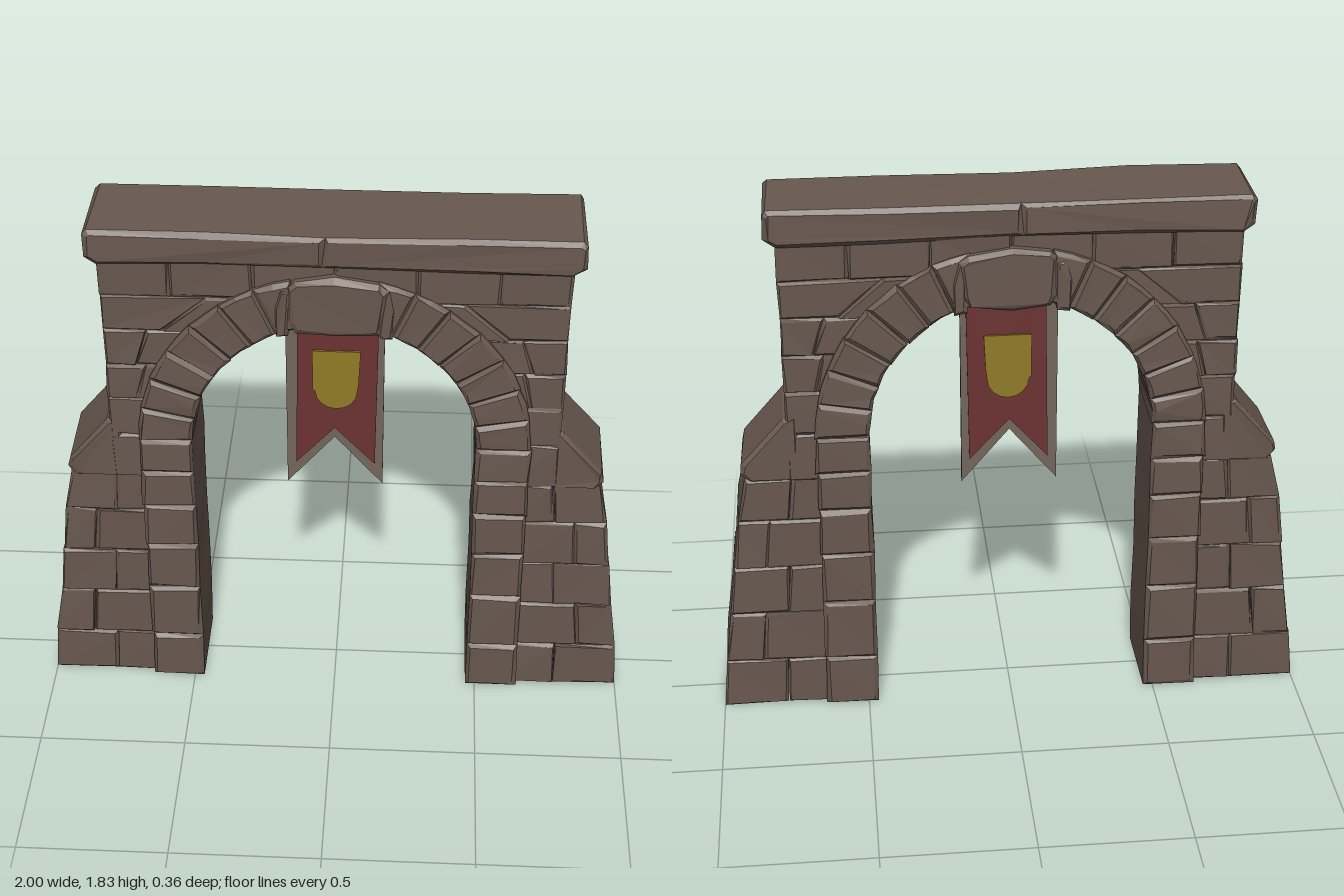
import * as THREE from 'three';

const stoneMat = new THREE.MeshStandardMaterial({ color: 0x68584f });
stoneMat.name = 'stone';
const trimMat = new THREE.MeshStandardMaterial({ color: 0x73665c });
trimMat.name = 'bannerTrim';
const redMat = new THREE.MeshStandardMaterial({ color: 0x6c3333 });
redMat.name = 'bannerRed';
const goldMat = new THREE.MeshStandardMaterial({ color: 0x917a26 });
goldMat.name = 'shieldGold';

const SPRING = 1.04, R_IN = 0.465, R_OUT = 0.642;

// Repeatable value in -1..1
const hash = (n) => {
  const s = Math.sin(n) * 43758.5453;
  return (s - Math.floor(s)) * 2 - 1;
};

// Small carved unevenness: corners sharing a position move together
function roughen(geo, amount) {
  const p = geo.attributes.position;
  for (let i = 0; i < p.count; i++) {
    const x = p.getX(i), y = p.getY(i), z = p.getZ(i);
    const k = Math.round(x * 500) * 1.37 + Math.round(y * 500) * 2.91 + Math.round(z * 500) * 4.73;
    p.setXYZ(i, x + hash(k) * amount, y < 0.002 ? 0 : y + hash(k + 7) * amount, z + hash(k + 13) * amount);
  }
  geo.computeVertexNormals();
  return geo;
}

function makeShape(pts) {
  return new THREE.Shape(pts.map(([x, y]) => new THREE.Vector2(x, y)));
}

// Chamfered block with outline pts, running from -half to +half in z
function stone(group, name, pts, half, bevel = 0.01, rough = 0.004) {
  const geo = new THREE.ExtrudeGeometry(makeShape(pts), {
    depth: 2 * (half - bevel), bevelEnabled: true, bevelThickness: bevel,
    bevelSize: bevel, bevelOffset: -bevel, bevelSegments: 1,
  });
  geo.translate(0, 0, -(half - bevel));
  const mesh = new THREE.Mesh(roughen(geo, rough), stoneMat);
  mesh.name = name;
  group.add(mesh);
}

// Thin flat plate centred on z
function plate(group, name, pts, thickness, z, mat) {
  const geo = new THREE.ExtrudeGeometry(makeShape(pts), { depth: thickness, bevelEnabled: false });
  geo.translate(0, 0, z - thickness / 2);
  const mesh = new THREE.Mesh(geo, mat);
  mesh.name = name;
  group.add(mesh);
}

function addGroup(parent, name) {
  const g = new THREE.Group();
  g.name = name;
  parent.add(g);
  return g;
}

// Four-sided block between two heights, mirrored by side s
const quad = (s, y0, y1, in0, in1, out0, out1) =>
  [[s * in0, y0], [s * out0, y0], [s * out1, y1], [s * in1, y1]];

// One masonry course cut into blocks at the given fractions
function course(group, name, s, y0, y1, in0, in1, out0, out1, cuts, half) {
  const f = [0, ...cuts, 1];
  for (let i = 0; i < f.length - 1; i++) {
    const lo = (t) => in0 + (out0 - in0) * t, hi = (t) => in1 + (out1 - in1) * t;
    stone(group, name, quad(s, y0, y1, lo(f[i]), hi(f[i]), lo(f[i + 1]), hi(f[i + 1])),
      half + hash(y0 * 31 + i * 5 + s) * 0.003, 0.008);
  }
}

export function createModel() {
  const model = new THREE.Group();
  model.name = 'stoneArchway';

  // Solid core behind the masonry
  const core = new THREE.Shape();
  core.moveTo(-0.72, 0.01);
  core.lineTo(-0.54, 0.01);
  core.lineTo(-0.54, SPRING);
  core.absarc(0, SPRING, 0.54, Math.PI, 0, true);
  core.lineTo(0.54, 0.01);
  core.lineTo(0.72, 0.01);
  core.lineTo(0.72, 1.73);
  core.lineTo(-0.72, 1.73);
  const coreGeo = new THREE.ExtrudeGeometry(core, { depth: 0.25, bevelEnabled: false, curveSegments: 24 });
  coreGeo.translate(0, 0, -0.125);
  const coreMesh = new THREE.Mesh(coreGeo, stoneMat);
  coreMesh.name = 'wallCore';
  model.add(coreMesh);

  const wallY = [0.88, 1.05, 1.2, 1.33, 1.46, 1.59, 1.73];
  const wallInner = (y) => (y <= SPRING ? 0.555 : Math.sqrt(Math.max(0, 0.555 ** 2 - (y - SPRING) ** 2)));
  const buttressY = [0, 0.18, 0.37, 0.55, 0.73, 0.89];
  const buttressX = [1.0, 0.985, 0.957, 0.935, 0.912, 0.877];
  const pierY = [0, 0.19, 0.41, 0.6, 0.77, 0.91, SPRING];

  for (const s of [-1, 1]) {
    const side = s > 0 ? 'left' : 'right';

    // Upper wall courses
    const wall = addGroup(model, side + 'Wall');
    for (let i = 0; i < wallY.length - 1; i++) {
      const y0 = wallY[i], y1 = wallY[i + 1], top = i === wallY.length - 2;
      const cuts = top ? [0.35, 0.7] : i < 2 ? [] : [0.5 + 0.12 * (i % 2)];
      course(wall, 'wallStone', s, y0, y1, top ? 0 : wallInner(y0), top ? 0 : wallInner(y1),
        0.737, 0.737, cuts, 0.142);
    }

    // Battered buttress with a sloped coping
    const buttress = addGroup(model, side + 'Buttress');
    for (let i = 0; i < buttressY.length - 1; i++) {
      course(buttress, 'buttressStone', s, buttressY[i], buttressY[i + 1], 0.6, 0.6,
        buttressX[i], buttressX[i + 1], [i % 2 ? 0.66 : 0.45], 0.136);
    }
    stone(buttress, 'buttressCoping',
      [[0.7, 0.875], [0.865, 0.875], [0.892, 0.91], [0.885, 0.945], [0.745, 1.105], [0.7, 1.12]]
        .map(([x, y]) => [s * x, y]), 0.14, 0.012);

    // Pier blocks
    const pier = addGroup(model, side + 'Pier');
    for (let i = 0; i < pierY.length - 1; i++) {
      stone(pier, 'pierStone', quad(s, pierY[i], pierY[i + 1], R_IN, R_IN, 0.645, R_OUT), 0.161, 0.012);
    }

    // Wedge blocks of the arch, up to the keystone
    const arch = addGroup(model, side + 'ArchRing');
    const n = 7, end = 1.36;
    for (let i = 0; i < n; i++) {
      const a0 = (i / n) * end, a1 = ((i + 1) / n) * end, am = (a0 + a1) / 2;
      const at = (r, a) => [s * r * Math.cos(a), SPRING + r * Math.sin(a)];
      stone(arch, 'archStone', [at(R_IN, a0), at(R_OUT, a0), at(R_OUT, am), at(R_OUT, a1),
        at(R_IN, a1), at(R_IN, am)], 0.16 + hash(i + s) * 0.002, 0.012, 0.003);
    }

    // Narrow stones flanking the keystone
    stone(model, 'keystoneFlank',
      [[0.145, 1.47], [0.185, 1.465], [0.19, 1.57], [0.17, 1.64], [0.14, 1.63]].map(([x, y]) => [s * x, y]),
      0.167, 0.008);
  }

  // Keystone
  stone(model, 'keystone', [[-0.125, 1.485], [0, 1.475], [0.14, 1.485], [0.155, 1.52], [0.17, 1.645],
    [0.14, 1.665], [0, 1.685], [-0.12, 1.67], [-0.145, 1.65], [-0.14, 1.52]], 0.175, 0.015);

  // Coping along the top, in two lengths
  const coping = addGroup(model, 'topCoping');
  stone(coping, 'copingStone', [[-0.735, 1.705], [-0.4, 1.715], [-0.035, 1.715], [-0.03, 1.825], [-0.4, 1.83],
    [-0.76, 1.83], [-0.775, 1.815], [-0.772, 1.735]], 0.157, 0.014);
  stone(coping, 'copingStone', [[-0.035, 1.715], [0.4, 1.71], [0.735, 1.705], [0.772, 1.735], [0.775, 1.815],
    [0.76, 1.83], [0.4, 1.825], [-0.03, 1.825]], 0.157, 0.014);

  // Swallow-tailed banner, with cloth and shield on both faces
  const banner = addGroup(model, 'banner');
  plate(banner, 'bannerTrim', [[-0.165, 0.78], [-0.005, 0.972], [0.157, 0.78], [0.157, 1.4], [0.15, 1.48],
    [0.06, 1.455], [-0.06, 1.455], [-0.165, 1.48]], 0.018, 0, trimMat);
  const shield = [[-0.078, 1.322], [-0.078, 1.17]];
  for (let i = 0; i <= 8; i++) {
    const a = Math.PI + (i / 8) * Math.PI;
    shield.push([0.07 * Math.cos(a), 1.165 + 0.07 * Math.sin(a)]);
  }
  shield.push([0.074, 1.2], [0.08, 1.322]);
  for (const s of [-1, 1]) {
    plate(banner, 'bannerCloth', [[-0.135, 0.865], [-0.005, 1.012], [0.13, 0.865], [0.138, 1.45],
      [0.06, 1.454], [-0.06, 1.454], [-0.125, 1.46]], 0.006, s * 0.011, redMat);
    plate(banner, 'bannerShield', shield, 0.008, s * 0.017, goldMat);
  }
  return model;
}
